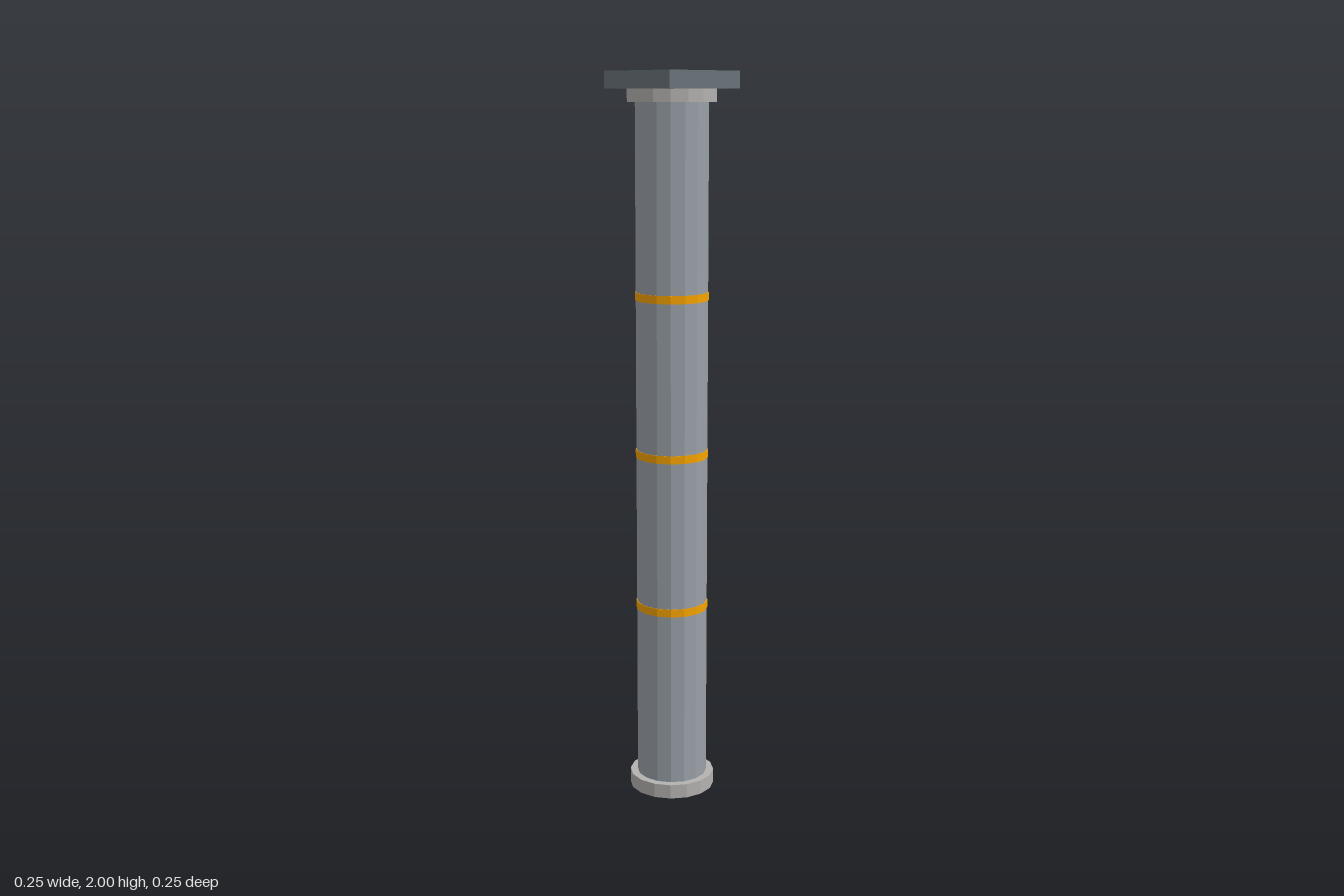
import * as THREE from 'three';

const SIDES = 16;

function paint(color) {
  return new THREE.MeshStandardMaterial({ color, flatShading: true });
}

export function createModel() {
  const column = new THREE.Group();
  column.name = 'column';
  const shaftGrey = paint(0x9aa0a8);
  const stone = paint(0xb4b2b0);
  const slabGrey = paint(0x6b737a);
  const amber = paint(0xf5a300);

  // Upright drum between two heights
  function drum(name, radius, bottom, top, material) {
    const geometry = new THREE.CylinderGeometry(radius, radius, top - bottom, SIDES);
    const mesh = new THREE.Mesh(geometry, material);
    mesh.name = name;
    mesh.position.y = (bottom + top) / 2;
    column.add(mesh);
  }

  drum('base', 0.119, 0, 0.04, stone);
  drum('shaft', 0.098, 0.02, 1.94, shaftGrey);
  drum('collar', 0.119, 1.92, 1.955, stone);

  // Evenly spaced coloured bands
  for (let i = 0; i < 3; i++) {
    const y = 0.54 + i * 0.434;
    drum('band' + (i + 1), 0.1, y - 0.011, y + 0.011, amber);
  }

  // Square slab on top
  const slab = new THREE.Mesh(new THREE.BoxGeometry(0.252, 0.046, 0.252), slabGrey);
  slab.name = 'topSlab';
  slab.position.y = 1.977;
  column.add(slab);

  return column;
}
